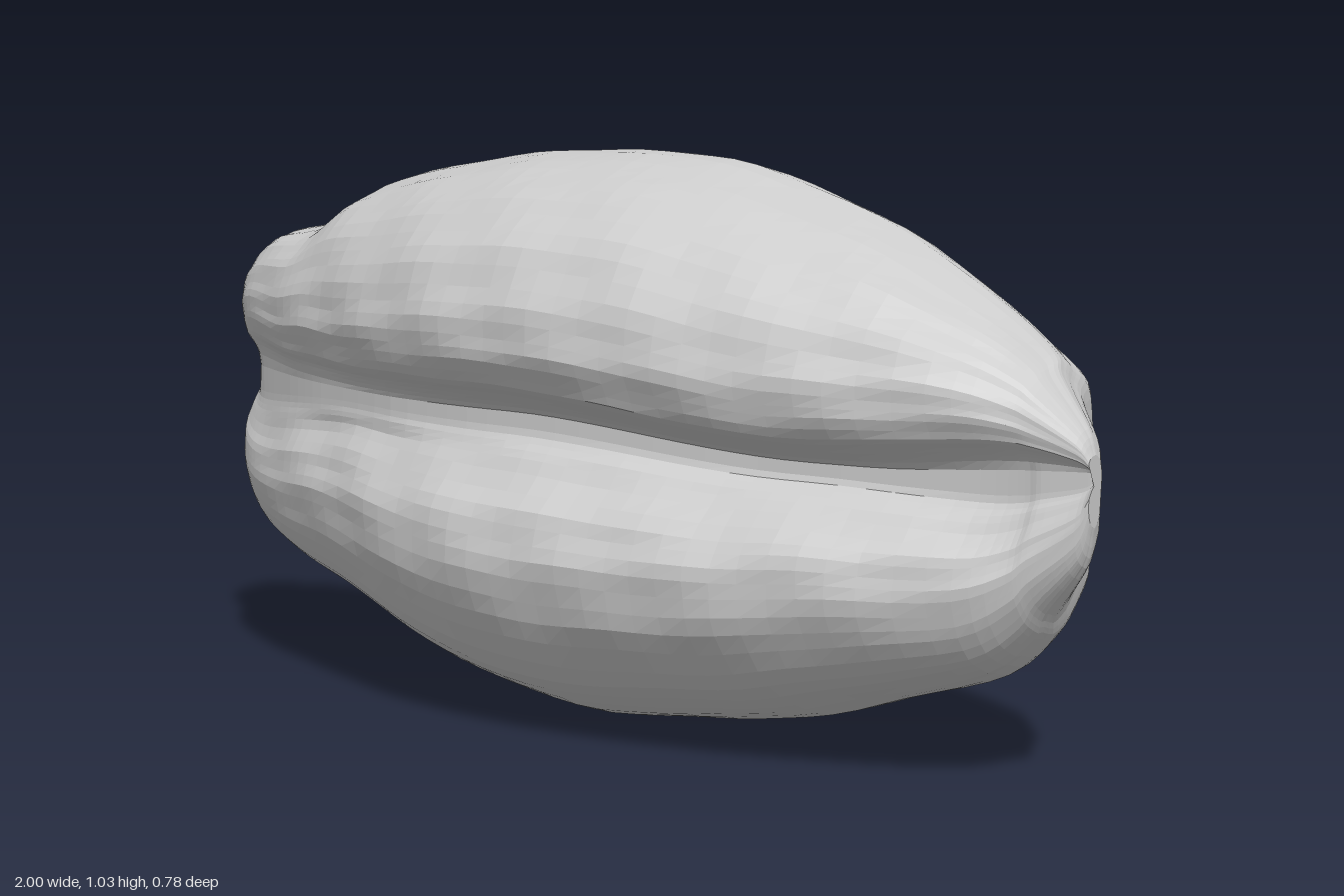
import * as THREE from 'three';

const { lerp, clamp, smoothstep } = THREE.MathUtils;
const V = (a, b, c) => new THREE.Vector3(a, b, c);
const GROOVE_Y = 0.56, TOP_Y = 1.03;

// Stations along the shell: x, top y, bottom y, front z, back z, groove floor z
const STATIONS = [
  [-1.0, 0.7, 0.41, 0.0, -0.08, -0.03],
  [-0.985, 0.75, 0.34, 0.04, -0.1, 0.0],
  [-0.95, 0.8, 0.28, 0.075, -0.12, 0.035],
  [-0.88, 0.84, 0.23, 0.12, -0.15, 0.075],
  [-0.73, 0.87, 0.18, 0.2, -0.19, 0.145],
  [-0.6, 0.945, 0.14, 0.25, -0.235, 0.19],
  [-0.4, 0.99, 0.07, 0.325, -0.305, 0.24],
  [-0.2, 1.02, 0.02, 0.375, -0.37, 0.255],
  [0.0, 1.03, 0.0, 0.385, -0.39, 0.245],
  [0.2, 1.02, 0.02, 0.37, -0.385, 0.22],
  [0.4, 0.97, 0.05, 0.335, -0.35, 0.185],
  [0.6, 0.9, 0.11, 0.28, -0.28, 0.15],
  [0.8, 0.79, 0.18, 0.2, -0.17, 0.11],
  [0.88, 0.73, 0.25, 0.16, -0.125, 0.1],
  [0.91, 0.7, 0.3, 0.145, -0.05, 0.1],
  [0.98, 0.62, 0.39, 0.11, 0.03, 0.085],
  [1.0, 0.58, 0.46, 0.1, 0.06, 0.08],
];

// Cross-section at the widest point: depth (-1 back, 1 front), height,
// and 1 where the point belongs to the groove floor
const SECTION = [
  [0, 1.03, 0], [0.35, 1.0, 0], [0.62, 0.95, 0], [0.85, 0.87, 0], [0.98, 0.77, 0],
  [1, 0.69, 0], [0.92, 0.625, 0], [0.83, 0.59, 0.4], [0.8, 0.56, 1], [0.8, 0.52, 0.95],
  [0.77, 0.485, 0.35], [0.9, 0.41, 0], [0.97, 0.33, 0], [0.91, 0.22, 0], [0.68, 0.1, 0],
  [0.35, 0.03, 0], [0, 0, 0], [-0.35, 0.035, 0], [-0.65, 0.11, 0], [-0.82, 0.17, 0],
  [-0.88, 0.3, 0], [-1, 0.5, 0], [-0.88, 0.7, 0], [-0.75, 0.88, 0], [-0.45, 0.95, 0],
  [-0.22, 1.0, 0],
];

function createShell() {
  const RINGS = 64, AROUND = 78;
  const curve = (points, closed, tension) => new THREE.CatmullRomCurve3(points, closed, 'catmullrom', tension);
  const heights = curve(STATIONS.map(s => V(s[0], s[1], s[2])), false, 0.45);
  const depths = curve(STATIONS.map(s => V(s[3], s[4], s[5])), false, 0.45);
  const section = curve(SECTION.map(p => V(...p)), true, 0.4);
  const pos = [], index = [];

  for (let i = 0; i <= RINGS; i++) {
    const h = heights.getPoint(i / RINGS), d = depths.getPoint(i / RINGS);
    const mid = (d.x + d.y) / 2, half = (d.x - d.y) / 2;
    const fade = Math.min(1, half * 4);
    // The groove dips on the pointed side and opens wider toward both ends
    const grooveY = 0.575 - 0.045 * smoothstep(h.x, -0.1, 0.5) + 0.02 * smoothstep(h.x, 0.6, 1);
    const spread = lerp(1, 0.6, smoothstep(Math.abs(h.x), 0.45, 1));
    for (let j = 0; j < AROUND; j++) {
      const p = section.getPoint(j / AROUND);
      const front = p.x > 0.3 ? spread : 1;
      const up = Math.max(0, (p.y - GROOVE_Y) / (TOP_Y - GROOVE_Y)) ** front;
      const down = Math.max(0, (GROOVE_Y - p.y) / GROOVE_Y) ** front;
      let y = grooveY + up * (h.y - grooveY) - down * (grooveY - h.z);
      const w = clamp(p.z, 0, 1);
      let z = lerp(mid + half * p.x, d.z, w);
      // Gentle uneven dents on the lobes
      const bump = 0.005 * fade * (1 - w) * Math.sin(h.x * 17 + j * 0.6) * Math.sin(j * 1.2 - h.x * 9);
      z += bump * p.x;
      y += bump * 0.5;
      // The blunt end is pinched inward between the lobes
      const pinch = 0.02 * Math.exp(-(((y - 0.58) / 0.1) ** 2)) * smoothstep(-h.x, 0.9, 1);
      pos.push(h.x + pinch, Math.max(0, y), z);
    }
  }
  for (let i = 0; i < RINGS; i++) {
    for (let j = 0; j < AROUND; j++) {
      const k = (j + 1) % AROUND;
      const a = i * AROUND + j, b = a + AROUND, c = i * AROUND + k, e = c + AROUND;
      index.push(a, c, b, b, c, e);
    }
  }
  // Close both ends
  const last = RINGS * AROUND, left = pos.length / 3, right = left + 1;
  pos.push(-0.98, 0.57, -0.05, 1.0, 0.52, 0.08);
  for (let j = 0; j < AROUND; j++) {
    const k = (j + 1) % AROUND;
    index.push(left, k, j, right, last + j, last + k);
  }
  const geo = new THREE.BufferGeometry();
  geo.setAttribute('position', new THREE.Float32BufferAttribute(pos, 3));
  geo.setIndex(index);
  geo.computeVertexNormals();
  return geo;
}

export function createModel() {
  const group = new THREE.Group();
  group.name = 'groovedShell';
  const material = new THREE.MeshStandardMaterial({ color: 0xcccccc, flatShading: true });
  const shell = new THREE.Mesh(createShell(), material);
  shell.name = 'shellBody';
  group.add(shell);
  return group;
}
